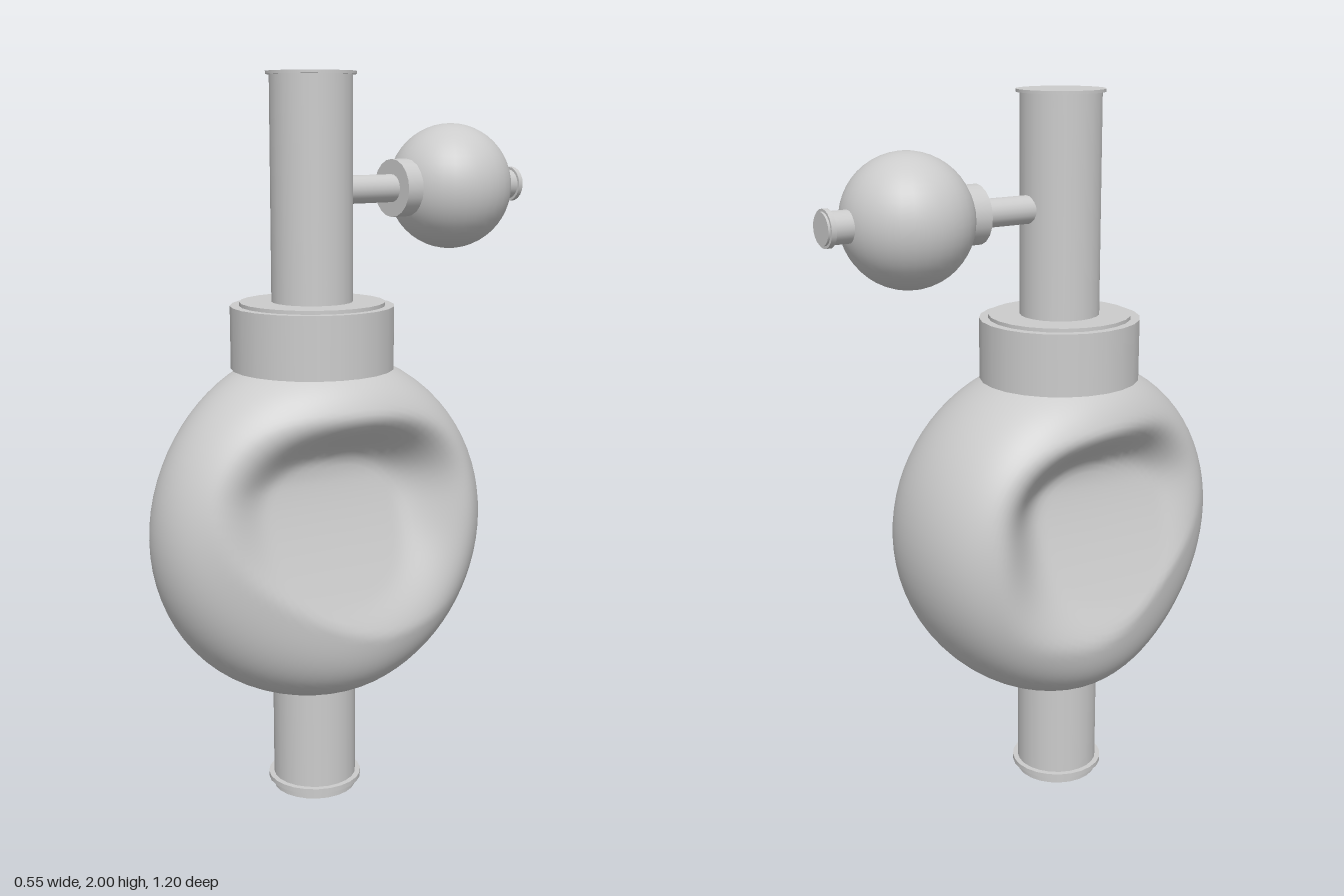
import * as THREE from 'three';
import { mergeVertices } from 'three/addons/utils/BufferGeometryUtils.js';

const AXIS_Z = 0.11;
const material = new THREE.MeshStandardMaterial({ color: 0xcccccc });
const { smoothstep, lerp } = THREE.MathUtils;

function add(parent, name, geometry) {
  const mesh = new THREE.Mesh(geometry, material);
  mesh.name = name;
  parent.add(mesh);
  return mesh;
}

// Upright cylinder between two heights on the main axis
function upright(parent, name, radius, y0, y1) {
  const mesh = add(parent, name, new THREE.CylinderGeometry(radius, radius, y1 - y0, 24));
  mesh.position.set(0, (y0 + y1) / 2, AXIS_Z);
}

// Cylinder lying along z, at the height of the bulb
function lying(parent, name, radius, z0, z1) {
  const geometry = new THREE.CylinderGeometry(radius, radius, Math.abs(z1 - z0), 20);
  const mesh = add(parent, name, geometry.rotateX(Math.PI / 2));
  mesh.position.set(0, 1.692, (z0 + z1) / 2);
}

// Flattened round body, thinner to the front, with a scooped hollow in each side
function bodyGeometry() {
  const R = 0.487, centreY = 0.785;
  let geometry = new THREE.SphereGeometry(1, 72, 72).rotateZ(Math.PI / 2);
  geometry.deleteAttribute('uv');
  geometry.deleteAttribute('normal');
  geometry = mergeVertices(geometry);
  const p = geometry.attributes.position;
  for (let i = 0; i < p.count; i++) {
    const t = Math.min(1, Math.hypot(p.getY(i), p.getZ(i)));
    const y = centreY + R * p.getY(i), z = AXIS_Z + R * p.getZ(i);
    const width = lerp(0.284, 0.19, smoothstep(z, 0.02, 0.58));
    let x = width * Math.sqrt(Math.max(0, 1 - t ** 5.5));
    // Hollow: deepest near the top, its floor sloping out to a firm lower edge
    const dz = Math.abs(z - 0.15) / 0.4;
    const dy = Math.abs(y - 0.84) / (y < 0.84 ? 0.45 : 0.28);
    const d = Math.pow(dz ** 2.6 + dy ** 2.6, 1 / 2.6);
    const floor = 0.128 + 0.12 * (Math.max(0, 0.95 - y) / 0.37) ** 1.3;
    x = lerp(Math.min(x, floor), x, smoothstep(d, 0.5, 1.05));
    p.setXYZ(i, Math.abs(p.getX(i)) < 1e-6 ? 0 : Math.sign(p.getX(i)) * x, Math.max(y, 0.32), z);
  }
  geometry.computeVertexNormals();
  return geometry;
}

export function createModel() {
  const model = new THREE.Group();
  model.name = 'bulbFlask';

  add(model, 'body', bodyGeometry());

  // Lower outlet
  upright(model, 'lowerTube', 0.117, 0, 0.36);
  upright(model, 'lowerFlange', 0.132, 0.022, 0.036);

  // Neck and upper tube
  upright(model, 'collar', 0.222, 1.22, 1.39);
  upright(model, 'collarCap', 0.197, 1.38, 1.4);
  upright(model, 'upperTube', 0.11, 1.39, 2);
  upright(model, 'upperRim', 0.12, 1.992, 2);

  // Side bulb on its stem
  const side = new THREE.Group();
  side.name = 'sideBulb';
  model.add(side);
  lying(side, 'stem', 0.038, 0.03, -0.16);
  lying(side, 'bulbCollar', 0.079, -0.155, -0.23);
  add(side, 'bulb', new THREE.SphereGeometry(0.174, 32, 24)).position.set(0, 1.692, -0.36);
  lying(side, 'nozzle', 0.042, -0.5, -0.6);
  lying(side, 'nozzleRing', 0.049, -0.58, -0.594);

  return model;
}
